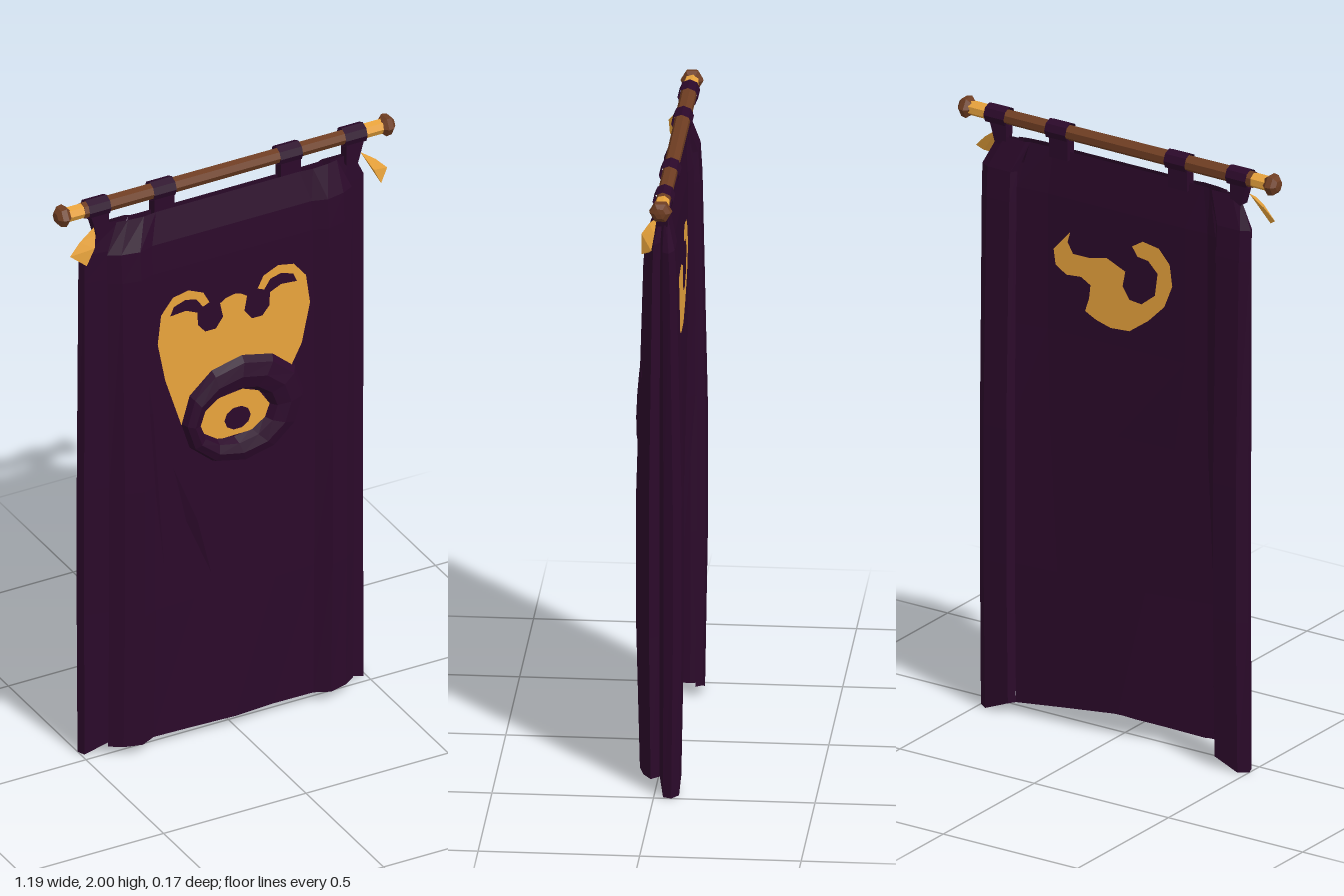
import * as THREE from 'three';
import { ConvexGeometry } from 'three/addons/geometries/ConvexGeometry.js';

const mat = (name, color) => new THREE.MeshStandardMaterial({ name, color, flatShading: true, side: THREE.DoubleSide });

// Half of the cloth's folded cross-section, from the centre to the outer edge: x, z
const SECTION = [[0, .045], [.14, .045], [.28, .045], [.33, .068], [.39, .05], [.43, .02], [.405, -.01],
  [.49, -.03], [.5, -.06], [.47, -.085], [.385, -.085], [.37, -.06]];
// Rows down the cloth: y, width factor, depth factor
const ROWS = [[1.9, .9, .24], [1.8, 1, .66], [1.7, 1, .75], [.95, 1, 1], [.5, 1, 1], [.035, 1, .87]];
const MID_Z = -.02;
// Rows of the back layer of cloth, from its left edge to its right: x, y, z
const BACK = [
  [[.335, 1.9, -.028], [.25, 1.9, -.026], [0, 1.9, -.026], [-.25, 1.9, -.026], [-.31, 1.9, -.026], [-.335, 1.9, -.028]],
  [[.37, 1.75, -.05], [.26, 1.75, -.04], [0, 1.75, -.04], [-.25, 1.75, -.04], [-.33, 1.75, -.035], [-.37, 1.75, -.05]],
  [[.37, 1.3, -.057], [.26, 1.3, -.04], [0, 1.3, -.04], [-.25, 1.3, -.04], [-.33, 1.3, -.035], [-.37, 1.3, -.055]],
  [[.37, 1, -.059], [.25, 1, -.044], [0, 1, -.042], [-.21, 1, -.035], [-.33, 1, -.03], [-.37, 1, -.055]],
  [[.37, .5, -.06], [.22, .5, -.047], [0, .5, -.042], [-.1, .5, -.036], [-.33, .5, .003], [-.37, .5, -.02]],
  [[.37, .035, -.054], [.2, .055, -.05], [0, .075, -.04], [-.06, .065, -.025], [-.33, .036, .036], [-.37, .036, .03]],
];
const BACK_Z = -.04;

// Depth of the flat middle of the cloth between y 0.95 and 1.7
const clothZ = y => MID_Z + .065 * THREE.MathUtils.mapLinear(Math.max(y, .95), .95, 1.7, 1, .75);

// Surface through rows of points, from top to bottom
function sheet(rows) {
  const n = rows[0].length, index = [];
  for (let r = 0; r < rows.length - 1; r++) {
    for (let i = 0; i < n - 1; i++) {
      const a = r * n + i, b = a + n;
      index.push(a, b, a + 1, b, b + 1, a + 1);
    }
  }
  const g = new THREE.BufferGeometry();
  g.setAttribute('position', new THREE.Float32BufferAttribute(rows.flat(2), 3));
  g.setIndex(index);
  g.computeVertexNormals();
  return g;
}

function clothGeometry() {
  const section = [...SECTION.slice(1).reverse().map(([x, z]) => [-x, z]), ...SECTION];
  return sheet(ROWS.map(([y, wide, deep], r) => section.map(([x, z], i) => {
    const drop = r === ROWS.length - 1 && Math.abs(x) > .45 ? .035 : 0;
    // Slight waves in the loose cloth below the emblem and along the hem
    const wave = r > 3 && Math.abs(x) < .3 ? .006 * Math.sin(i * 2 + r) : 0;
    return [x * wide, y - drop, MID_Z + (z - MID_Z) * deep + wave];
  })));
}

// Flat shape laid on a surface whose depth is given by a rule
function plate(points, depth) {
  const g = new THREE.ShapeGeometry(new THREE.Shape(points.map(([x, y]) => new THREE.Vector2(x, y))));
  const p = g.attributes.position;
  for (let i = 0; i < p.count; i++) p.setZ(i, depth(p.getY(i)));
  g.computeVertexNormals();
  return g;
}

// Raised ring between an off-centre inner oval and an outer oval
function ringGeometry() {
  const g = new THREE.TorusGeometry(2, 1, 8, 12), p = g.attributes.position;
  for (let i = 0; i < p.count; i++) {
    const x = p.getX(i), y = p.getY(i), r = Math.hypot(x, y), c = x / r, s = y / r, t = (r - 1) / 2;
    const px = THREE.MathUtils.lerp(-.005 + .122 * c, .025 + .215 * c, t);
    const py = THREE.MathUtils.lerp(1.13 + .083 * s, 1.145 + .187 * s, t);
    p.setXYZ(i, px, py, clothZ(py) + .003 + .037 * Math.max(0, p.getZ(i)));
  }
  g.computeVertexNormals();
  return g;
}

export function createModel() {
  const group = new THREE.Group();
  const purple = mat('purple cloth', 0x2b092a);
  const gold = mat('gold', 0xefa83e);
  const brown = mat('brown wood', 0x6e3d22);
  const add = (name, geometry, material, x = 0, y = 0, z = 0) => {
    const m = new THREE.Mesh(geometry, material);
    m.name = name;
    m.position.set(x, y, z);
    group.add(m);
  };
  const alongX = (r1, r2, len, sides = 7, open = false) =>
    new THREE.CylinderGeometry(r1, r2, len, sides, 1, open).rotateZ(-Math.PI / 2);

  add('cloth', clothGeometry(), purple);
  add('backCloth', sheet(BACK), purple);

  // Long slanting creases: top x, y and bottom x, y
  for (const [x1, y1, x2, y2] of [[-.36, 1.78, -.25, .65], [-.22, 1.0, -.085, .58], [.37, 1.78, .33, .9]]) {
    const mx = (x1 + x2) / 2, my = (y1 + y2) / 2, z = clothZ(my);
    add('crease', new ConvexGeometry([new THREE.Vector3(x1, y1, clothZ(y1)), new THREE.Vector3(x2, y2, clothZ(y2)),
      new THREE.Vector3(mx - .02, my, z), new THREE.Vector3(mx + .012, my, z + .014)]), purple);
  }

  // Front emblem: horned head, ring and eye
  const onFront = y => clothZ(y) + .006;
  const half = [[-.27, 1.45], [-.257, 1.55], [-.215, 1.602], [-.16, 1.613], [-.108, 1.59], [-.087, 1.55],
    [-.11, 1.54], [-.132, 1.572], [-.17, 1.582], [-.212, 1.568], [-.225, 1.538], [-.17, 1.543], [-.13, 1.525],
    [-.128, 1.48], [-.103, 1.45], [-.066, 1.45], [-.04, 1.485], [-.05, 1.535], [-.03, 1.548]];
  const mirrored = half.map(([x, y]) => [-x - .005, y]).reverse();
  const head = [[-.19, 1.14], [-.245, 1.315], ...half, [0, 1.555], ...mirrored,
    [.235, 1.315], [.195, 1.24], [.16, 1.25], [.01, 1.28], [-.14, 1.24]];
  add('headEmblem', plate(head, onFront), gold);
  add('emblemRing', ringGeometry(), purple);
  add('eye', plate([[-.13, 1.11], [-.125, 1.058], [-.087, 1.052], [.06, 1.055], [.108, 1.088], [.12, 1.13],
    [.082, 1.188], [.025, 1.21], [-.055, 1.2], [-.1, 1.18]], onFront), gold);
  const pupil = Array.from({ length: 10 }, (_, i) =>
    [.004 + .046 * Math.cos(i * Math.PI / 5), 1.115 + .04 * Math.sin(i * Math.PI / 5)]);
  add('pupil', plate(pupil, y => clothZ(y) + .011), purple);

  // Back emblem: curling horn joined to a crescent
  const curl = [[.165, 1.655], [.227, 1.585], [.22, 1.535], [.18, 1.51], [.125, 1.515], [.09, 1.495],
    [.095, 1.45], [.11, 1.405], [.07, 1.385], [.015, 1.37], [-.055, 1.375], [-.125, 1.425], [-.185, 1.485],
    [-.215, 1.56], [-.205, 1.63], [-.165, 1.675], [-.105, 1.685], [-.065, 1.66], [-.085, 1.63], [-.125, 1.625],
    [-.16, 1.59], [-.15, 1.515], [-.1, 1.475], [-.055, 1.48], [-.03, 1.52], [-.04, 1.57],
    [.03, 1.6], [.095, 1.585], [.155, 1.585], [.175, 1.62]];
  add('backEmblem', plate(curl.map(([x, y]) => [x + .008, y - .012]), () => BACK_Z - .006), gold);

  // Rod and its hanging loops
  const ROD_Y = 1.965, ROD_Z = -.028;
  add('rod', alongX(.023, .026, 1), brown, 0, ROD_Y, ROD_Z);
  for (const s of [-1, 1]) {
    for (const [x, w] of [[.45, .075], [.222, .078]]) {
      add('loop', alongX(.032, .032, w, 8, true), purple, s * x, ROD_Y, ROD_Z);
      const strap = new THREE.BoxGeometry(w * .9, .09, .035);
      const p = strap.attributes.position;
      for (let i = 0; i < p.count; i++) {
        if (p.getY(i) < 0 && x > .4) p.setX(i, p.getX(i) * .6 - s * .012);
      }
      strap.computeVertexNormals();
      add('strap', strap, purple, s * x, 1.918, -.022);
    }

    // Rod ends with gold collars, faceted knobs and hanging ribbons
    add('collar', alongX(.024, .024, .07), gold, s * .526, ROD_Y, ROD_Z);
    const knob = new THREE.LatheGeometry([[0, -.024], [.02, -.024], [.036, -.006], [.033, .012], [.018, .024], [0, .026]]
      .map(([r, y]) => new THREE.Vector2(r, y)), 6).rotateZ(-s * Math.PI / 2);
    add('knob', knob, brown, s * .568, ROD_Y, ROD_Z);
    const ribbon = [[.468, 1.906, -.008], [.475, 1.89, .015], [.52, 1.868, -.004], [.557, 1.83, .002],
      [.517, 1.803, .036], [.49, 1.86, .038], [.535, 1.815, .012]];
    add('ribbon', new ConvexGeometry(ribbon.map(([x, y, z]) => new THREE.Vector3(s * x, y, z))), gold);
  }
  return group;
}
